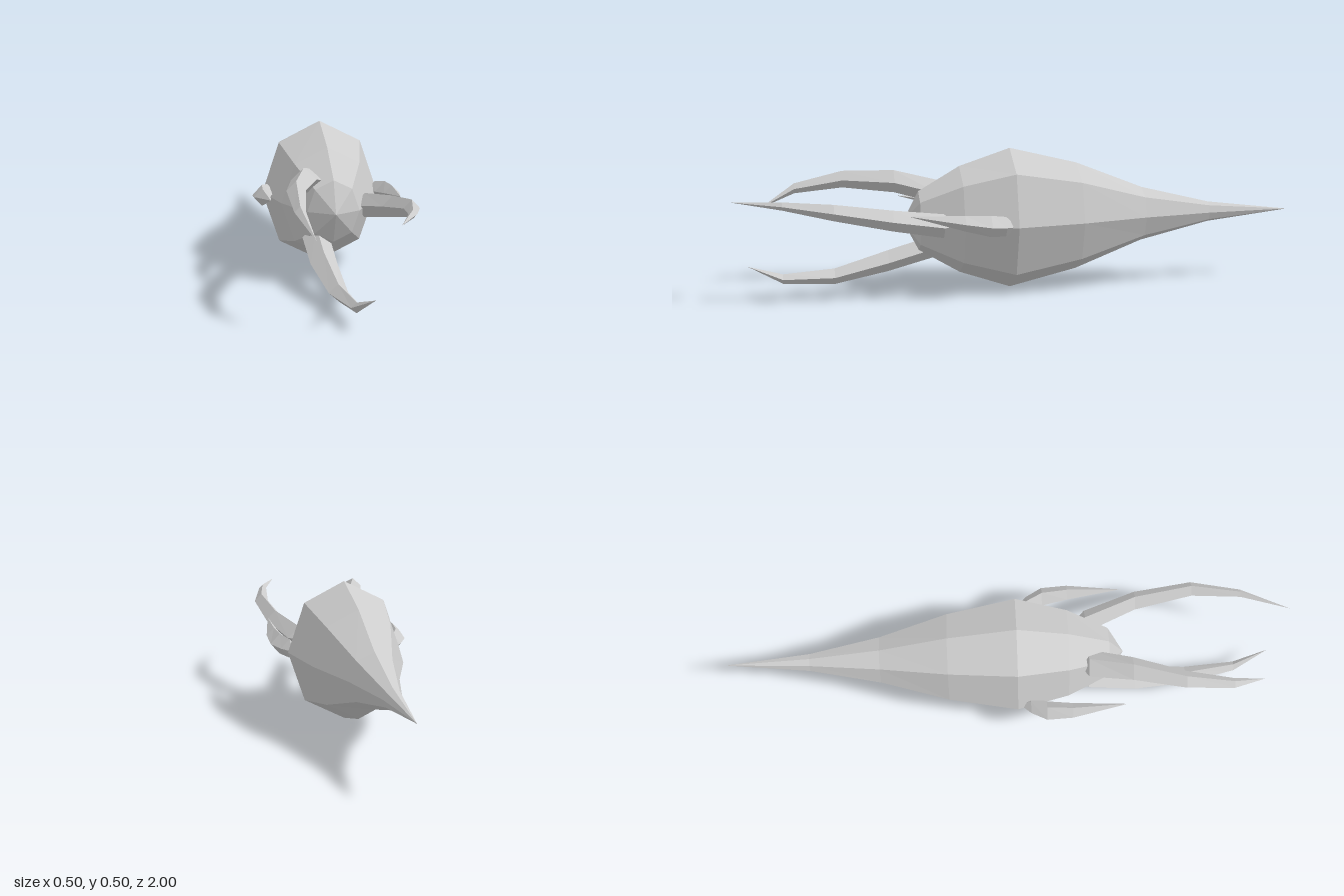
import * as THREE from 'three';

// Faceted tube through cross-sections [x, y, z, rx, ry], listed from back (-z) to front (+z).
function loft(name, sections, sides, material) {
  const point = ([x, y, z, rx, ry = rx], j) => {
    const a = (j / sides) * Math.PI * 2;
    return [x + rx * Math.cos(a), y + ry * Math.sin(a), z];
  };
  const positions = [];
  for (let i = 0; i < sections.length - 1; i++) {
    const s = sections[i], t = sections[i + 1];
    for (let j = 0; j < sides; j++) {
      const a = point(s, j), b = point(s, j + 1), c = point(t, j + 1), d = point(t, j);
      if (s[3] > 0) positions.push(...a, ...b, ...c);
      if (t[3] > 0) positions.push(...a, ...c, ...d);
    }
  }
  const geometry = new THREE.BufferGeometry();
  geometry.setAttribute('position', new THREE.Float32BufferAttribute(positions, 3));
  geometry.computeVertexNormals();
  const mesh = new THREE.Mesh(geometry, material);
  mesh.name = name;
  return mesh;
}

export function createModel() {
  const group = new THREE.Group();
  group.name = 'tentacledCreature';
  const grey = new THREE.MeshStandardMaterial({ color: 0xcccccc, flatShading: true });
  grey.name = 'lightGrey';

  // Eight-sided body: long pointed tail, blunt face
  group.add(loft('body', [
    [0, 0.25, -1, 0, 0],
    [0, 0.25, -0.7, 0.032, 0.036],
    [0, 0.25, -0.45, 0.085, 0.097],
    [0, 0.25, -0.21, 0.158, 0.192],
    [0, 0.25, 0.03, 0.203, 0.25],
    [0, 0.25, 0.21, 0.158, 0.19],
    [0, 0.25, 0.355, 0.088, 0.105],
    [0, 0.25, 0.41, 0, 0],
  ], 8, grey));

  // Three long curved tentacles around the face
  const tentacles = {
    upperTentacle: [
      [-0.06, 0.325, 0.24, 0, 0],
      [-0.072, 0.34, 0.28, 0.05, 0.042],
      [-0.11, 0.375, 0.43, 0.042, 0.04],
      [-0.158, 0.38, 0.61, 0.031, 0.03],
      [-0.168, 0.35, 0.78, 0.018, 0.018],
      [-0.135, 0.288, 0.9, 0, 0],
    ],
    leftTentacle: [
      [0.1, 0.25, 0.22, 0, 0],
      [0.118, 0.25, 0.28, 0.042, 0.042],
      [0.178, 0.285, 0.46, 0.034, 0.036],
      [0.2, 0.323, 0.66, 0.026, 0.028],
      [0.168, 0.345, 0.83, 0.014, 0.014],
      [0.1, 0.352, 1, 0, 0],
    ],
    lowerTentacle: [
      [-0.045, 0.16, 0.22, 0, 0],
      [-0.05, 0.148, 0.29, 0.046, 0.04],
      [-0.048, 0.1, 0.46, 0.044, 0.038],
      [-0.03, 0.055, 0.65, 0.031, 0.028],
      [-0.003, 0.058, 0.83, 0.017, 0.017],
      [0.035, 0.115, 0.95, 0, 0],
    ],
  };
  for (const [name, sections] of Object.entries(tentacles)) {
    group.add(loft(name, sections, 4, grey));
  }

  // Pair of short side tentacles
  for (const [name, side] of [['leftSideTentacle', 1], ['rightSideTentacle', -1]]) {
    group.add(loft(name, [
      [side * 0.18, 0.25, 0.03, 0, 0],
      [side * 0.19, 0.255, 0.075, 0.03, 0.034],
      [side * 0.215, 0.262, 0.13, 0.034, 0.037],
      [side * 0.222, 0.276, 0.22, 0.027, 0.027],
      [side * 0.215, 0.305, 0.41, 0, 0],
    ], 4, grey));
  }
  return group;
}
